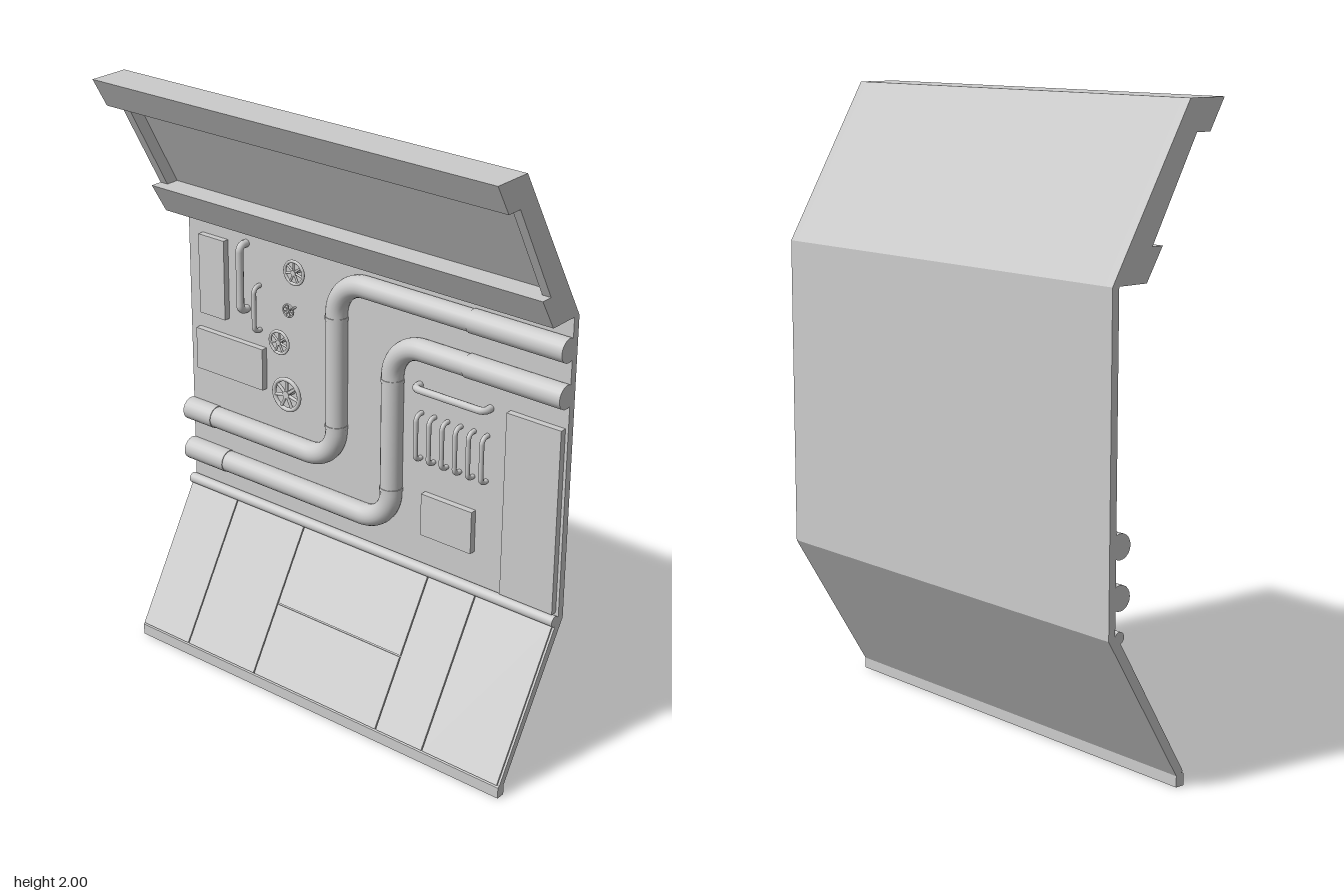
import * as THREE from 'three';

const material = new THREE.MeshStandardMaterial({ color: 0xcccccc, side: THREE.DoubleSide });
const WALL = -0.185; // front face of the wall

export function createModel() {
  const model = new THREE.Group();

  const add = (name, geometry, parent = model) => {
    const mesh = new THREE.Mesh(geometry, material);
    mesh.name = name;
    parent.add(mesh);
    return mesh;
  };

  // Sweeps a (z, y) outline sideways from x0 to x1
  const sweep = (name, outline, x0, x1) => {
    const shape = new THREE.Shape(outline.map(([z, y]) => new THREE.Vector2(z, y)));
    const geo = new THREE.ExtrudeGeometry(shape, { depth: x1 - x0, bevelEnabled: false });
    geo.rotateY(-Math.PI / 2).translate(x1, 0, 0);
    return add(name, geo);
  };

  // Main wall
  sweep('wall', [[-0.21, 0.5], [WALL, 0.5], [WALL, 1.5], [-0.21, 1.5]], -0.75, 0.75);

  // Overhanging top: two end frames and a recessed middle
  const topOutline = (inset) => [
    [0.215, 2], [0.08, 2], [-0.21, 1.5], [-0.08, 1.5], [-0.02, 1.6],
    [-0.06 - inset, 1.6], [0.107 - inset, 1.905], [0.16, 1.905],
  ];
  sweep('topMiddle', topOutline(0.045), -0.72, 0.72);
  sweep('topEndRight', topOutline(0), -0.75, -0.72);
  sweep('topEndLeft', topOutline(0), 0.72, 0.75);

  // Sloping base with raised plates
  sweep('lowerBase', [
    [0.07, 0], [0.1, 0], [0.1, 0.038], [0.093, 0.041],
    [-0.172, 0.49], [WALL, 0.51], [-0.21, 0.5], [0.07, 0.035],
  ], -0.75, 0.75);
  const slope = (y, lift) => [0.1 - (y - 0.042) * 0.591 - 0.0086 + lift * 0.86, y - 0.005 + lift * 0.51];
  const plate = (x0, x1, y0 = 0.042, y1 = 0.49) => sweep('lowerPlate', [
    slope(y0 + 0.002, -0.003), slope(y0 + 0.002, 0.01),
    slope(y1 - 0.002, 0.01), slope(y1 - 0.002, -0.003),
  ], x0 + 0.002, x1 - 0.002);
  plate(-0.75, -0.54);
  plate(-0.54, -0.245);
  plate(-0.245, 0.27, 0.042, 0.255);
  plate(-0.245, 0.27, 0.255, 0.49);
  plate(0.27, 0.455);
  plate(0.455, 0.745);

  // Rail along the fold
  const rod = (name, radius, x0, x1, y, z) => {
    const geo = new THREE.CylinderGeometry(radius, radius, x1 - x0, 20).rotateZ(Math.PI / 2);
    return add(name, geo.translate((x0 + x1) / 2, y, z));
  };
  rod('foldRail', 0.018, -0.75, 0.75, 0.503, -0.168);

  // Path of straight runs joined by rounded corners
  const roundedPath = (points, r) => {
    const path = new THREE.CurvePath();
    const p = points.map((q) => new THREE.Vector3(...q));
    let from = p[0];
    for (let i = 1; i < p.length - 1; i++) {
      const a = p[i].clone().add(p[i - 1].clone().sub(p[i]).setLength(r));
      const b = p[i].clone().add(p[i + 1].clone().sub(p[i]).setLength(r));
      path.add(new THREE.LineCurve3(from, a));
      const k = 0.4477; // cubic handles for a quarter circle
      path.add(new THREE.CubicBezierCurve3(a, a.clone().lerp(p[i], 1 - k), b.clone().lerp(p[i], 1 - k), b));
      from = b;
    }
    path.add(new THREE.LineCurve3(from, p[p.length - 1]));
    return path;
  };

  // Large stepped pipes with end sleeves and bend collars
  const pipe = (low, x, high, sleeveEnd, sleeveStart) => {
    const z = -0.168;
    const path = roundedPath([[-0.75, low, z], [x, low, z], [x, high, z], [0.75, high, z]], 0.115);
    add('pipe', new THREE.TubeGeometry(path, 160, 0.036, 20, false));
    rod('pipeSleeve', 0.0385, -0.75, sleeveEnd, low, z);
    rod('pipeSleeve', 0.0385, sleeveStart, 0.75, high, z);
    for (const y of [low + 0.13, high - 0.13]) {
      add('pipeCollar', new THREE.CylinderGeometry(0.038, 0.038, 0.012, 20).translate(x, y, z));
    }
  };
  pipe(0.768, -0.111, 1.402, -0.63, 0.41);
  pipe(0.619, 0.113, 1.255, -0.58, 0.4);

  // Raised boxes on the wall
  const box = (name, x0, x1, y0, y1, depth) => add(name,
    new THREE.BoxGeometry(x1 - x0, y1 - y0, depth + 0.01)
      .translate((x0 + x1) / 2, (y0 + y1) / 2, WALL + (depth - 0.01) / 2));
  box('tallBox', -0.69, -0.58, 1.135, 1.41, 0.022);
  box('wideBox', -0.71, -0.42, 0.93, 1.075, 0.022);
  box('smallBox', 0.235, 0.43, 0.625, 0.77, 0.022);
  box('sidePanel', 0.545, 0.74, 0.525, 1.145, 0.022);

  // Thin bars bent back into the wall at both ends
  const handle = (x0, y0, x1, y1, r, out = 0.03) => {
    const z = WALL + out;
    const path = roundedPath([[x0, y0, WALL], [x0, y0, z], [x1, y1, z], [x1, y1, WALL]], 0.02);
    add('handle', new THREE.TubeGeometry(path, 48, r, 10, false));
  };
  handle(-0.5, 1.193, -0.5, 1.418, 0.013, 0.034);
  handle(-0.445, 1.133, -0.445, 1.287, 0.008);
  handle(0.207, 1.13, 0.473, 1.13, 0.012, 0.034);
  for (let i = 0; i < 6; i++) handle(0.216 + i * 0.05, 0.883, 0.216 + i * 0.05, 1.037, 0.008);

  // Spoked valve wheels on short stems
  const valve = (x, y, radius) => {
    const wheel = new THREE.Group();
    wheel.name = 'valveWheel';
    wheel.position.set(x, y, WALL + 0.035);
    const r = radius * 0.12;
    add('rim', new THREE.TorusGeometry(radius - r, r, 10, 28), wheel);
    add('hub', new THREE.CylinderGeometry(radius * 0.22, radius * 0.22, 0.012, 14).rotateX(Math.PI / 2), wheel);
    add('stem', new THREE.CylinderGeometry(radius * 0.15, radius * 0.15, 0.04, 12)
      .rotateX(Math.PI / 2).translate(0, 0, -0.02), wheel);
    for (let i = 0; i < 7; i++) {
      const spoke = new THREE.CylinderGeometry(r * 0.75, r * 0.75, radius - r, 8);
      add('spoke', spoke.translate(0, (radius - r) / 2, 0).rotateZ(i * Math.PI * 2 / 7), wheel);
    }
    model.add(wheel);
  };
  valve(-0.27, 1.385, 0.043);
  valve(-0.295, 1.25, 0.024);
  valve(-0.335, 1.13, 0.043);
  valve(-0.305, 0.955, 0.06);

  return model;
}
